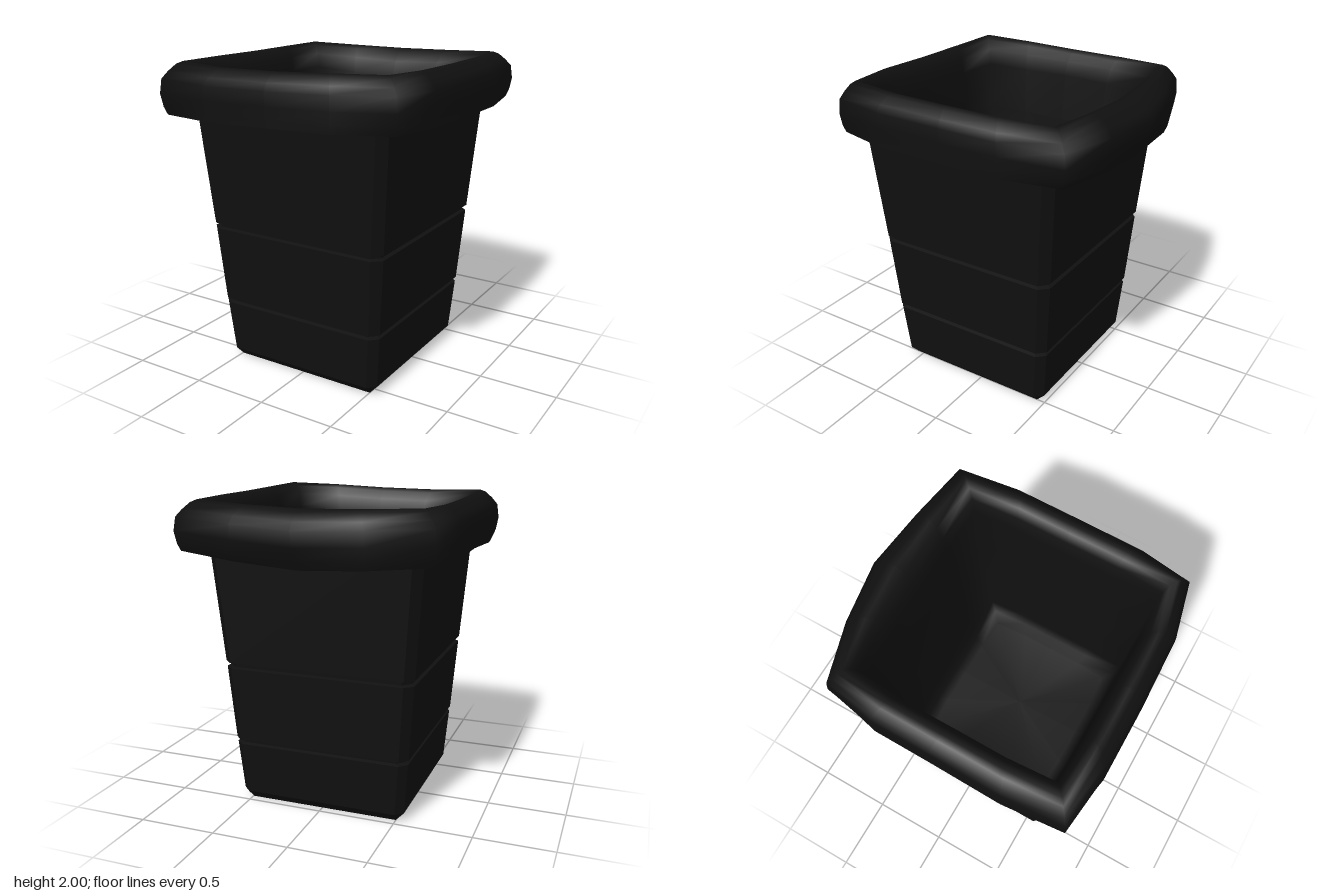
import * as THREE from 'three';

const CENTRE_Z = 0.055;

// Skin a list of rings (bottom to top, clockwise from above) with quads
function loft(rings) {
  const n = rings[0].length;
  const index = [];
  for (let i = 0; i < rings.length - 1; i++) {
    for (let j = 0; j < n; j++) {
      const k = (j + 1) % n;
      const a = i * n + j, b = i * n + k, c = b + n, d = a + n;
      index.push(a, d, b, b, d, c);
    }
  }
  const geometry = new THREE.BufferGeometry();
  geometry.setAttribute('position', new THREE.Float32BufferAttribute(rings.flat(2), 3));
  geometry.setIndex(index);
  geometry.computeVertexNormals();
  return geometry;
}

// Square ring with cut corners
function cutSquare(h, y, c) {
  const s = h - c;
  return [[-s, -h], [s, -h], [h, -s], [h, s], [s, h], [-s, h], [-h, s], [-h, -s]]
    .map(([x, z]) => [x, y, z + CENTRE_Z]);
}

// Tapered bin with two grooves: half width, height, corner cut
function createBody(color) {
  const profile = [
    [0, 0, 0], [0.5, 0, 0.004], [0.555, 0.06, 0.05],
    [0.582, 0.4, 0.05], [0.556, 0.407, 0.045], [0.558, 0.425, 0.045], [0.586, 0.43, 0.05],
    [0.622, 0.92, 0.055], [0.598, 0.927, 0.05], [0.6, 0.95, 0.05], [0.626, 0.957, 0.055],
    [0.692, 1.84, 0.055],
  ];
  const material = new THREE.MeshStandardMaterial({ color, flatShading: true, side: THREE.DoubleSide });
  const mesh = new THREE.Mesh(loft(profile.map(([h, y, c]) => cutSquare(h, y, c))), material);
  mesh.name = 'binBody';
  return mesh;
}

// Sagging liner: uneven folded rim with an open hem, inner walls and floor
function createLiner(color) {
  // x, z, crown height, hem height around the rim, from the back left corner
  const rim = [
    [-0.78, -0.71, 1.975, 1.66], [-0.4, -0.82, 1.965, 1.64], [0, -0.89, 1.96, 1.62], [0.4, -0.84, 1.97, 1.65],
    [0.8, -0.78, 1.985, 1.685], [0.84, -0.38, 1.985, 1.68], [0.84, 0, 1.985, 1.68], [0.835, 0.45, 1.99, 1.685],
    [0.79, 0.79, 2.0, 1.69], [0.42, 0.87, 1.99, 1.68], [0, 0.885, 1.975, 1.67], [-0.44, 0.885, 1.97, 1.66],
    [-0.83, 0.84, 1.98, 1.655], [-0.845, 0.45, 1.975, 1.66], [-0.84, 0, 1.97, 1.68], [-0.835, -0.38, 1.97, 1.67],
  ];
  // Matching unit square directions, corners slightly pulled in
  const unit = rim.map((_, i) => {
    const corners = [[-1, -1], [1, -1], [1, 1], [-1, 1]];
    const a = corners[Math.floor(i / 4)], b = corners[(Math.floor(i / 4) + 1) % 4];
    const t = (i % 4) / 4, s = t === 0 ? 0.97 : 1;
    return [(a[0] + (b[0] - a[0]) * t) * s, (a[1] + (b[1] - a[1]) * t) * s];
  });
  // Fraction inward across the rim, fraction of height from hem to crown, extra tuck at corners
  const fold = [
    [0, 0, 0.14], [0, 0.15, 0.06], [0, 0.4, 0], [0, 0.68, 0.05], [0.12, 0.82, 0.08],
    [0.34, 0.95, 0.04], [0.53, 1, 0], [0.74, 0.93, 0], [0.9, 0.75, 0], [1, 0.45, 0],
  ];
  const rings = fold.map(([t, v, tuck]) => rim.map(([x, z, top, hem], i) => {
    const outerZ = v < 0.5 ? Math.max(z, -0.8 - v * 0.18) : z;
    const inward = i % 4 === 0 ? t + tuck : t;
    return [
      THREE.MathUtils.lerp(x, unit[i][0] * 0.63, inward),
      THREE.MathUtils.lerp(hem, top, v),
      THREE.MathUtils.lerp(outerZ, unit[i][1] * 0.635 + 0.05, inward),
    ];
  }));
  // Inside the bag: half width, half depth, x centre, z centre, height
  const inside = [
    [0.61, 0.605, 0.005, 0.055, 1.5], [0.575, 0.56, 0.015, 0.075, 1.05], [0.55, 0.525, 0.025, 0.09, 0.8],
    [0.525, 0.5, 0.03, 0.1, 0.71], [0.46, 0.44, 0.03, 0.1, 0.68], [0, 0, 0.03, 0.1, 0.67],
  ];
  for (const [w, d, cx, cz, y] of inside) {
    rings.push(unit.map(([x, z]) => [x * w + cx, y, z * d + cz]));
  }
  const material = new THREE.MeshStandardMaterial({ color, side: THREE.DoubleSide });
  const mesh = new THREE.Mesh(loft(rings), material);
  mesh.name = 'binLiner';
  return mesh;
}

export function createModel() {
  const group = new THREE.Group();
  group.name = 'linedWasteBin';
  group.add(createBody(0x101010), createLiner(0x101010));
  return group;
}
